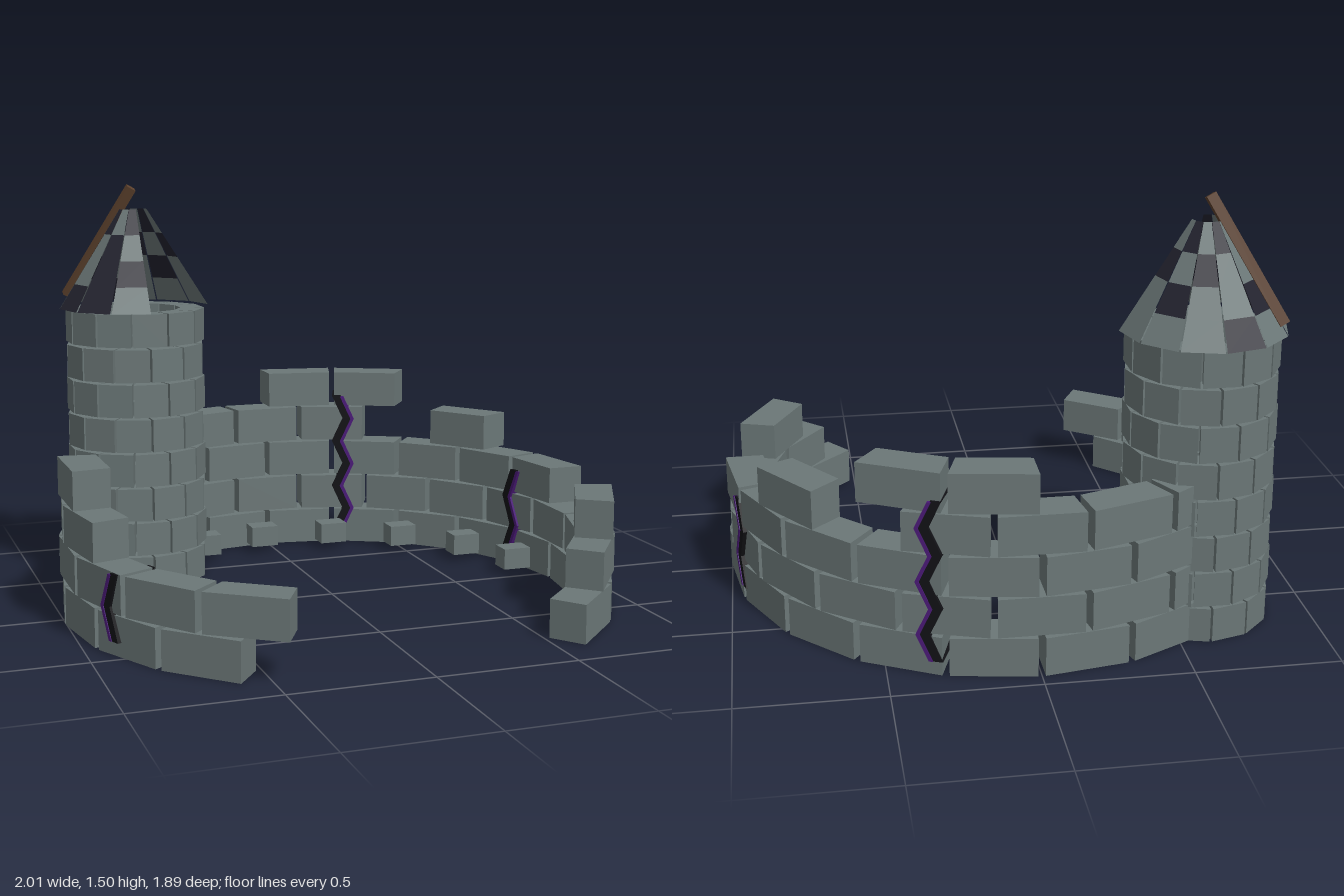
import * as THREE from 'three';

const RAD = Math.PI / 180;

function material(name, color, side = THREE.FrontSide) {
  const m = new THREE.MeshStandardMaterial({ color, side });
  m.name = name;
  return m;
}

// Wedge-shaped stone; angles in degrees run from +x towards the back
function wedge(rIn, rOut, a0, a1, y, height) {
  const corner = (r, a) => new THREE.Vector2(r * Math.cos(a * RAD), r * Math.sin(a * RAD));
  const shape = new THREE.Shape([corner(rIn, a0), corner(rOut, a0), corner(rOut, a1), corner(rIn, a1)]);
  return new THREE.ExtrudeGeometry(shape, { depth: height, bevelEnabled: false })
    .rotateX(-Math.PI / 2).translate(0, y, 0);
}

// Zigzag band running radially through the wall
function zigzag(yTop, width, offset, rIn, rOut) {
  const steps = Math.max(2, Math.round((yTop - 0.05) / 0.095));
  const left = [], right = [];
  for (let i = 0; i <= steps; i++) {
    const y = 0.05 + (yTop - 0.05) * i / steps;
    const x = (i % 2 ? -0.022 : 0.022) + offset;
    left.push(new THREE.Vector2(x - width / 2, y));
    right.unshift(new THREE.Vector2(x + width / 2, y));
  }
  return new THREE.ExtrudeGeometry(new THREE.Shape([...left, ...right]), { depth: rOut - rIn, bevelEnabled: false })
    .translate(0, 0, rIn).rotateY(Math.PI / 2);
}

// Flat roof tile between two heights and two angles
function tile(r0, y0, r1, y1, a0, a1) {
  const p = (r, y, a) => [r * Math.cos(a * RAD), y, -r * Math.sin(a * RAD)];
  const g = new THREE.BufferGeometry();
  g.setAttribute('position', new THREE.Float32BufferAttribute(
    [...p(r0, y0, a0), ...p(r0, y0, a1), ...p(r1, y1, a1), ...p(r1, y1, a0)], 3));
  g.setIndex([0, 1, 2, 0, 2, 3]);
  g.computeVertexNormals();
  return g;
}

export function createModel() {
  const stone = material('stone', 0x6b7777);
  const slateLight = material('lightSlate', 0x6b7777, THREE.DoubleSide);
  const slateDark = material('darkSlate', 0x23232f, THREE.DoubleSide);
  const wood = material('wood', 0x5c402c);
  const black = material('crackBlack', 0x121216);
  const purple = material('crackPurple', 0x4c1a7a);

  const model = new THREE.Group();
  model.name = 'ruinedFort';
  const add = (parent, name, geometry, mat) => {
    const mesh = new THREE.Mesh(geometry, mat);
    mesh.name = name;
    parent.add(mesh);
    return mesh;
  };
  const group = (name, x, z) => {
    const g = new THREE.Group();
    g.name = name;
    g.position.set(x, 0, z);
    model.add(g);
    return g;
  };

  // Broken ring wall: start angles of the 18 degree stones in each course
  const run = (from, to) => {
    const list = [];
    for (let a = from; a < to; a += 18) list.push(a);
    return list;
  };
  const courses = [
    run(-54, 234),
    run(-45, 243),
    [-36, ...run(0, 198)],
    [27, 63, 81, 99, 117, 171],
    [54, 72],
  ];
  const wall = group('ringWall', 0, 0.055);
  courses.forEach((starts, row) => {
    for (const a of starts) {
      add(wall, 'wallStone', wedge(0.868, 1.003, a + 0.7, a + 17.3, row * 0.1445, 0.137), stone);
    }
  });

  // Cracks: [angle, top height]
  for (const [angle, top] of [[69, 0.62], [17, 0.38], [157, 0.4], [203, 0.28]]) {
    const crack = new THREE.Group();
    crack.name = 'crack';
    crack.rotation.y = angle * RAD;
    add(crack, 'crackEdge', zigzag(top, 0.036, 0.004, 0.853, 1.006), black);
    add(crack, 'crackGlow', zigzag(top - 0.004, 0.014, -0.018, 0.85, 1.009), purple);
    wall.add(crack);
  }

  // Round tower of staggered stones
  const tower = group('tower', -0.605, -0.545);
  for (let row = 0; row < 8; row++) {
    for (let i = 0; i < 12; i++) {
      const a = i * 30 + (row % 2 ? 15 : 0);
      add(tower, 'towerStone', wedge(0.172, 0.262, a + 0.9, a + 29.1, row * 0.1305, 0.122), stone);
    }
  }

  // Patchwork roof with the front-left quarter fallen away (1 = dark tile)
  const pattern = ['000100110', '010010011', '101001010', '010100101'];
  const roof = new THREE.Group();
  roof.name = 'roof';
  tower.add(roof);
  const radiusAt = (t) => 0.287 + (0.052 - 0.287) * t;
  const heightAt = (t) => 1.04 + 0.37 * t;
  pattern.forEach((band, b) => {
    const t0 = b / 4, t1 = (b + 1) / 4;
    [...band].forEach((c, i) => {
      add(roof, 'roofTile', tile(radiusAt(t0), heightAt(t0), radiusAt(t1), heightAt(t1),
        i * 30 + 0.6, i * 30 + 29.4), c === '1' ? slateDark : slateLight);
    });
  });

  // Leaning roof beam
  const low = new THREE.Vector3(-0.84, 1.08, -0.68);
  const high = new THREE.Vector3(-0.61, 1.49, -0.55);
  const beam = add(model, 'roofBeam', new THREE.BoxGeometry(0.035, low.distanceTo(high), 0.035), wood);
  beam.position.copy(low).add(high).multiplyScalar(0.5);
  beam.quaternion.setFromUnitVectors(new THREE.Vector3(0, 1, 0), high.clone().sub(low).normalize());

  // Small stones inside the wall
  const rubble = [[-0.785, 0.03], [-0.725, -0.25], [-0.56, -0.49], [-0.31, -0.655], [-0.05, -0.725],
    [0.235, -0.69], [0.49, -0.555], [0.675, -0.335], [0.77, -0.065]];
  for (const [x, z] of rubble) {
    add(model, 'looseStone', new THREE.BoxGeometry(0.108, 0.08, 0.085), stone).position.set(x, 0.063, z);
  }

  return model;
}
